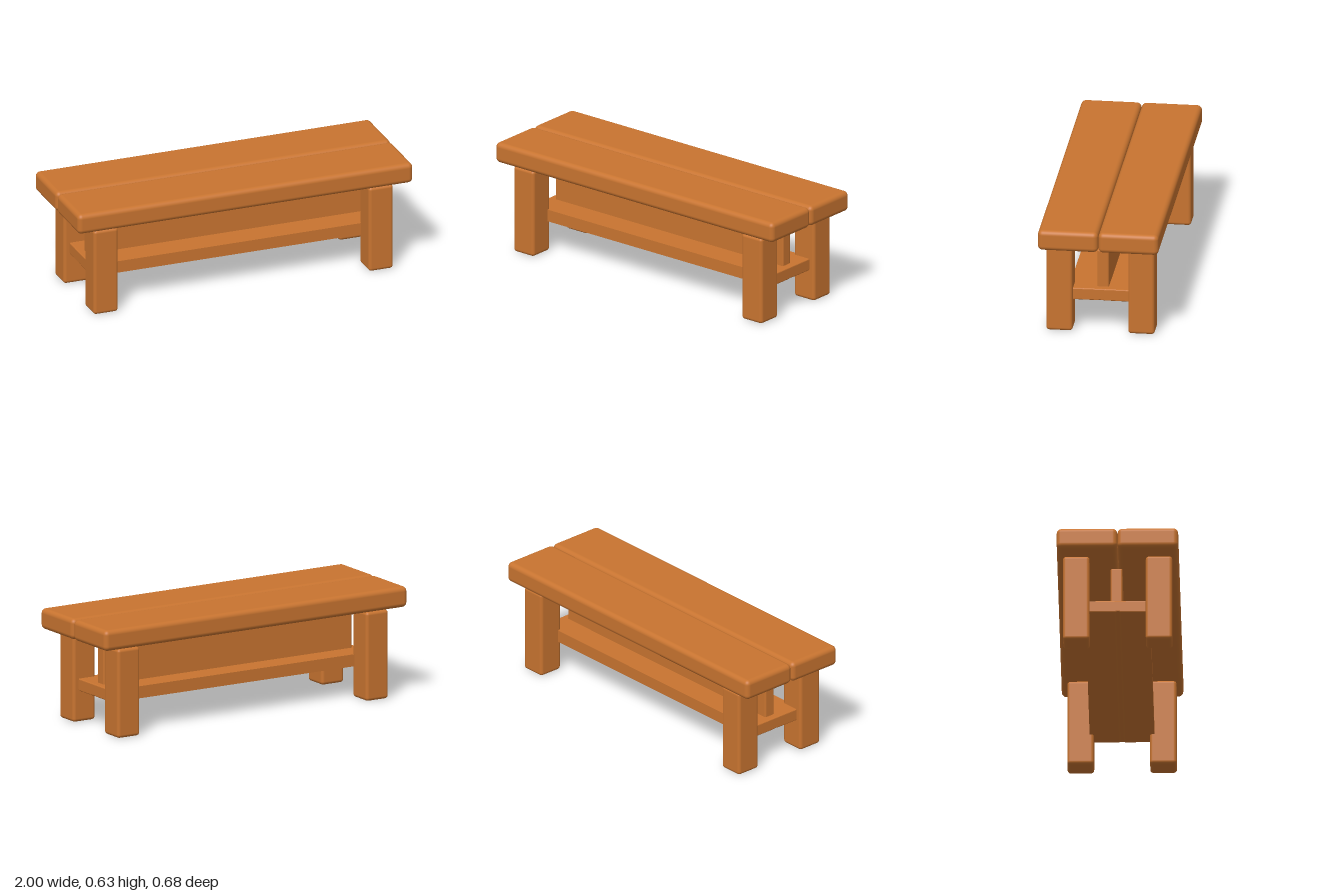
import * as THREE from 'three';
import { RoundedBoxGeometry } from 'three/addons/geometries/RoundedBoxGeometry.js';

export function createModel() {
  const bench = new THREE.Group();
  bench.name = 'bench';
  const wood = new THREE.MeshStandardMaterial({ color: 0xc87430 });
  wood.name = 'warm wood';

  // Rounded timber given by its lowest and highest corners
  function timber(name, min, max, radius) {
    const size = max.map((v, i) => v - min[i]);
    const mesh = new THREE.Mesh(new RoundedBoxGeometry(...size, 4, radius), wood);
    mesh.position.set(...max.map((v, i) => (v + min[i]) / 2));
    mesh.name = name;
    bench.add(mesh);
  }

  // Two seat planks meeting at the middle
  timber('frontSeatPlank', [-1, 0.515, 0.001], [1, 0.633, 0.338], 0.027);
  timber('backSeatPlank', [-1, 0.515, -0.338], [1, 0.633, -0.001], 0.027);

  // Four square legs
  for (const x of [-0.821, 0.821]) {
    for (const z of [-0.23, 0.23]) {
      const name = (z > 0 ? 'front' : 'back') + (x > 0 ? 'Left' : 'Right') + 'Leg';
      timber(name, [x - 0.073, 0, z - 0.074], [x + 0.073, 0.508, z + 0.074], 0.018);
    }
  }

  // Upright beam standing on the shelf
  timber('centreBeam', [-0.82, 0.215, -0.04], [0.82, 0.465, 0.026], 0.01);

  // Low shelf with a shallow groove along its underside
  const bevel = 0.006, half = 0.18 - bevel, length = 1.72;
  const profile = new THREE.Shape([
    [-half, 0.184], [-0.018, 0.184], [-0.01, 0.186], [0.01, 0.186], [0.018, 0.184],
    [half, 0.184], [half, 0.241], [-half, 0.241],
  ].map(([z, y]) => new THREE.Vector2(z, y)));
  const shelfGeometry = new THREE.ExtrudeGeometry(profile, {
    depth: length - 2 * bevel, bevelSize: bevel, bevelThickness: bevel, bevelSegments: 3,
  });
  shelfGeometry.translate(0, 0, -length / 2 + bevel).rotateY(Math.PI / 2);
  const shelf = new THREE.Mesh(shelfGeometry, wood);
  shelf.name = 'lowerShelf';
  bench.add(shelf);

  return bench;
}
